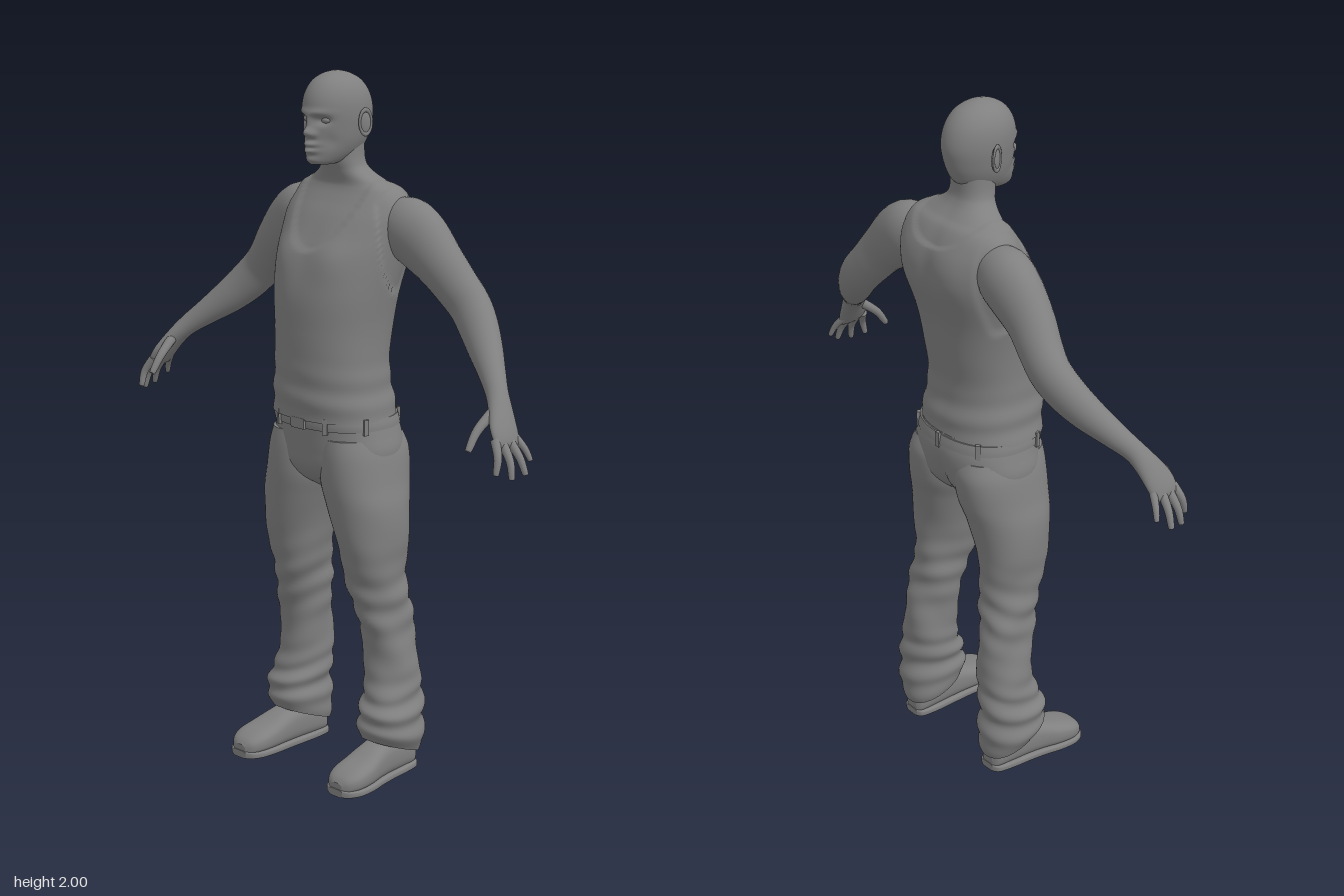
import * as THREE from 'three';

const grey = new THREE.MeshStandardMaterial({ color: 0x808080 });
grey.name = 'grey';
const V3 = (x, y, z) => new THREE.Vector3(x, y, z);
const bell = (v, c, w) => Math.exp(-(((v - c) / w) ** 2));
const step = THREE.MathUtils.smoothstep;

// Smooth interpolation through rows of numbers
function sample(rows, t) {
  const n = rows.length - 1, f = t * n, i = Math.min(Math.floor(f), n - 1), u = f - i;
  const at = k => rows[Math.max(0, Math.min(n, k))];
  return rows[0].map((_, k) => {
    const a = at(i - 1)[k], b = at(i)[k], c = at(i + 1)[k], d = at(i + 2)[k];
    return b + 0.5 * u * (c - a + u * (2 * a - 5 * b + 4 * c - d + u * (3 * (b - c) + d - a)));
  });
}

// Closed skin over elliptical sections; rows are [x, y, z, halfU, halfV]
function sweep(rows, { rings = 30, sides = 28, axis = null, up = V3(0, 0, 1), power = 2, shape = null } = {}) {
  const pos = [], idx = [];
  const centre = t => V3(...sample(rows, t).slice(0, 3));
  for (let i = 0; i <= rings; i++) {
    const t = i / rings, [x, y, z, a, b] = sample(rows, t);
    const T = axis ? axis.clone()
      : centre(Math.min(1, t + 0.01)).sub(centre(Math.max(0, t - 0.01))).normalize();
    const V = up.clone().addScaledVector(T, -up.dot(T)).normalize();
    const U = T.clone().cross(V);
    for (let j = 0; j < sides; j++) {
      const q = (j / sides) * Math.PI * 2;
      const pw = v => Math.sign(v) * Math.abs(v) ** (2 / power);
      const p = V3(x, y, z).addScaledVector(U, Math.max(a, 0.001) * pw(Math.sin(q)))
        .addScaledVector(V, Math.max(b, 0.001) * pw(Math.cos(q)));
      if (shape) shape(p, V3(x, y, z), q);
      pos.push(p.x, p.y, p.z);
      if (i < rings) {
        const k = (j + 1) % sides, A = i * sides + j, B = i * sides + k;
        idx.push(A, B, B + sides, A, B + sides, A + sides);
      }
    }
  }
  // Flat end caps with their own rim vertices
  for (const end of [0, 1]) {
    const src = end * rings * sides, base = pos.length / 3, c = [0, 0, 0];
    for (let j = 0; j < sides; j++) for (let k = 0; k < 3; k++) {
      const v = pos[(src + j) * 3 + k];
      pos.push(v);
      c[k] += v / sides;
    }
    pos.push(...c);
    for (let j = 0; j < sides; j++) {
      const k = (j + 1) % sides;
      idx.push(base + sides, base + (end ? j : k), base + (end ? k : j));
    }
  }
  const g = new THREE.BufferGeometry();
  g.setAttribute('position', new THREE.Float32BufferAttribute(pos, 3));
  g.setIndex(idx);
  g.computeVertexNormals();
  return g;
}

// Upright body section: [y, xMin, xMax, zFront, zBack]
const upright = r => r.map(([y, x0, x1, f, b]) => [(x0 + x1) / 2, y, (f + b) / 2, (x1 - x0) / 2, (f - b) / 2]);
const centred = r => upright(r.map(([y, w, f, b]) => [y, -w, w, f, b]));
const UP = V3(0, 1, 0);

function mirrored(geo) {
  const g = geo.clone();
  g.scale(-1, 1, 1);
  const a = g.index.array;
  for (let i = 0; i < a.length; i += 3) [a[i], a[i + 1]] = [a[i + 1], a[i]];
  g.computeVertexNormals();
  return g;
}

export function createModel() {
  const root = new THREE.Group();
  root.name = 'man';
  const add = (name, geo) => {
    const m = new THREE.Mesh(geo, grey);
    m.name = name;
    root.add(m);
    return m;
  };
  const pair = (name, geo) => {
    add(name + 'Left', geo);
    add(name + 'Right', mirrored(geo));
  };

  // Torso and neck, with the vest standing slightly proud of the skin
  add('torsoWithVest', sweep(centred([
    [1.05, 0.176, 0.142, -0.14], [1.1, 0.168, 0.146, -0.136], [1.2, 0.158, 0.147, -0.122], [1.3, 0.16, 0.147, -0.137],
    [1.4, 0.172, 0.142, -0.155], [1.5, 0.187, 0.115, -0.184], [1.56, 0.195, 0.086, -0.189], [1.61, 0.198, 0.058, -0.182],
    [1.65, 0.19, 0.03, -0.165], [1.68, 0.165, 0.012, -0.146], [1.7, 0.125, 0.008, -0.122], [1.73, 0.078, 0.016, -0.096],
    [1.76, 0.063, 0.025, -0.085], [1.82, 0.06, 0.03, -0.085]]), {
    rings: 120, sides: 112, axis: UP, power: 2.3,
    shape(p, c) {
      const ax = Math.abs(p.x), out = V3(p.x, 0, p.z - c.z).normalize();
      const scoop = THREE.MathUtils.lerp(0.09, 0.2, step(p.z, -0.15, 0));
      const neck = (p.x / 0.115) ** 2 + ((Math.min(p.y, 1.72) - 1.72) / scoop) ** 2;
      const hole = Math.max(((p.y - 1.56) / 0.16) ** 2 + ((p.z + 0.075) / 0.09) ** 2, 2 - ax / 0.15);
      const cover = step(neck, 0.95, 1.08) * step(hole, 0.93, 1.05) * (1 - step(p.y, 1.73, 1.74));
      let d = 0.007 * cover;
      if (p.z > c.z) d += 0.01 * bell(ax, 0.08, 0.05) * bell(p.y, 1.5, 0.06);
      else d += 0.007 * bell(ax, 0.09, 0.05) * bell(p.y, 1.56, 0.07) - 0.008 * bell(p.x, 0, 0.025) * bell(p.y, 1.45, 0.2);
      d += 0.003 * Math.sin(p.y * 75 + p.x * 9) * bell(p.y, 1.12, 0.07);
      p.addScaledVector(out, d);
    },
  }));

  // Head with modelled brow, eye sockets, nose, lips and chin
  add('head', sweep(centred([
    [1.752, 0.03, 0.088, 0.0], [1.762, 0.043, 0.095, -0.04], [1.785, 0.059, 0.098, -0.085], [1.815, 0.071, 0.097, -0.104],
    [1.85, 0.078, 0.097, -0.115], [1.885, 0.082, 0.1, -0.12], [1.92, 0.081, 0.098, -0.114], [1.95, 0.073, 0.087, -0.1],
    [1.975, 0.057, 0.067, -0.077], [1.992, 0.033, 0.038, -0.045], [2, 0.006, 0.006, -0.012]]), {
    rings: 90, sides: 96, axis: UP,
    shape(p) {
      if (p.z < 0.02) return;
      const ax = Math.abs(p.x), y = p.y;
      p.z += 0.022 * bell(ax, 0, 0.014) * bell(y, 1.84, 0.013) + 0.01 * bell(ax, 0, 0.011) * bell(y, 1.868, 0.022)
        + 0.008 * bell(ax, 0.016, 0.008) * bell(y, 1.835, 0.008)
        - 0.017 * bell(ax, 0.034, 0.018) * bell(y, 1.873, 0.012)
        + 0.007 * bell(ax, 0.025, 0.03) * bell(y, 1.893, 0.01)
        + 0.016 * bell(ax, 0, 0.022) * bell(y, 1.808, 0.007) + 0.015 * bell(ax, 0, 0.02) * bell(y, 1.79, 0.007)
        + 0.006 * bell(ax, 0, 0.022) * bell(y, 1.765, 0.009)
        - 0.006 * bell(ax, 0.05, 0.015) * bell(y, 1.815, 0.02);
    },
  }));
  pair('eye', new THREE.SphereGeometry(0.013, 20, 14).scale(1.15, 0.75, 1).translate(0.034, 1.873, 0.068));
  const earTurn = new THREE.Matrix4().makeRotationY(-0.35).setPosition(0.089, 1.862, -0.025);
  pair('ear', new THREE.SphereGeometry(1, 18, 14).scale(0.008, 0.034, 0.019).applyMatrix4(earTurn));
  pair('earRim', new THREE.TorusGeometry(0.02, 0.004, 8, 28).scale(0.9, 1.65, 1).rotateY(Math.PI / 2)
    .translate(0.004, 0.003, 0).applyMatrix4(earTurn));

  // Arms running into the palms
  pair('arm', sweep([
    [0.13, 1.605, -0.078, 0.055, 0.055], [0.19, 1.585, -0.082, 0.086, 0.072], [0.245, 1.552, -0.086, 0.088, 0.07],
    [0.31, 1.495, -0.09, 0.073, 0.062], [0.36, 1.44, -0.1, 0.065, 0.057], [0.405, 1.392, -0.105, 0.062, 0.053],
    [0.45, 1.345, -0.09, 0.059, 0.05], [0.5, 1.297, -0.062, 0.051, 0.045], [0.56, 1.245, -0.022, 0.038, 0.036],
    [0.605, 1.205, 0.01, 0.03, 0.031], [0.635, 1.17, 0.03, 0.025, 0.037], [0.665, 1.125, 0.05, 0.02, 0.046],
    [0.682, 1.095, 0.058, 0.014, 0.043], [0.687, 1.083, 0.06, 0.006, 0.034]], { rings: 70, sides: 32 }));

  // Fingers and thumb: [base, middle, tip, radius]
  const digits = [
    [[0.672, 1.11, 0.022], [0.7, 1.075, 0.008], [0.714, 1.045, 0.0], 0.0095],
    [[0.675, 1.105, 0.047], [0.712, 1.06, 0.042], [0.73, 1.018, 0.038], 0.011],
    [[0.675, 1.102, 0.071], [0.71, 1.055, 0.077], [0.722, 1.012, 0.082], 0.011],
    [[0.672, 1.105, 0.092], [0.695, 1.065, 0.107], [0.698, 1.025, 0.117], 0.011],
    [[0.63, 1.17, 0.05], [0.622, 1.125, 0.105], [0.622, 1.08, 0.138], 0.0125]];
  digits.forEach(([a, b, c, r], i) => {
    const tip = c.map((v, k) => v + (v - b[k]) * 0.1);
    pair(i < 4 ? 'finger' + (i + 1) : 'thumb', sweep(
      [[...a, r * 1.2, r * 1.2], [...b, r, r], [...c, r * 0.75, r * 0.75], [...tip, r * 0.3, r * 0.3]],
      { rings: 18, sides: 14, up: V3(0.7, 0, 0.7) }));
  });

  // Trousers: hips, belt and legs
  add('trouserHips', sweep(centred([
    [0.84, 0.06, 0.05, -0.075], [0.87, 0.13, 0.095, -0.115], [0.91, 0.19, 0.12, -0.145], [0.96, 0.2, 0.127, -0.156],
    [1.01, 0.189, 0.132, -0.158], [1.06, 0.175, 0.138, -0.146]]), {
    rings: 40, sides: 64, axis: UP, power: 2.3,
    shape(p) {
      if (p.z < 0) p.z += 0.018 * bell(p.x, 0, 0.025) * bell(p.y, 0.91, 0.06);
    },
  }));
  add('belt', sweep(centred([[1.026, 0.186, 0.141, -0.157], [1.04, 0.185, 0.143, -0.155], [1.056, 0.181, 0.143, -0.151]]),
    { rings: 6, sides: 64, axis: UP, power: 2.3 }));
  add('beltBuckle', new THREE.BoxGeometry(0.05, 0.03, 0.012).translate(0, 1.04, 0.144));
  for (const q of [0.45, 1.2, 2.4, Math.PI, 3.88, 5.08, 5.83]) {
    const loop = add('beltLoop', new THREE.BoxGeometry(0.014, 0.045, 0.01));
    const s = Math.sin(q), c = Math.cos(q), pw = v => Math.sign(v) * Math.abs(v) ** (2 / 2.3);
    loop.position.set(0.185 * pw(s), 1.04, -0.006 + 0.149 * pw(c));
    loop.rotation.y = q;
  }
  pair('trouserLeg', sweep(upright([
    [0.1, 0.112, 0.252, 0.05, -0.132], [0.135, 0.103, 0.268, 0.062, -0.142], [0.2, 0.106, 0.265, 0.056, -0.142],
    [0.26, 0.103, 0.254, 0.034, -0.138], [0.32, 0.1, 0.247, 0.026, -0.137], [0.4, 0.099, 0.236, 0.03, -0.13],
    [0.5, 0.085, 0.231, 0.053, -0.117], [0.6, 0.069, 0.226, 0.08, -0.106], [0.7, 0.05, 0.236, 0.1, -0.11],
    [0.8, 0.021, 0.232, 0.116, -0.127], [0.87, 0.0, 0.217, 0.124, -0.147], [0.95, 0.0, 0.201, 0.125, -0.156],
    [1.0, 0.01, 0.182, 0.12, -0.14]]), {
    rings: 110, sides: 48, axis: UP, power: 2.2,
    shape(p, c, q) {
      // Folds gather at the knee and ankle; the cuff drops at the heel
      const fold = 0.004 * bell(c.y, 0.52, 0.1) * Math.sin(c.y * 80 + 2 * Math.sin(q) + 1.5 * Math.cos(q))
        + 0.006 * bell(c.y, 0.2, 0.08) * Math.sin(c.y * 95 + 2.5 * Math.sin(q + 1))
        + 0.003 * Math.sin(c.y * 28 + 3 * q) * bell(c.y, 0.45, 0.3);
      p.addScaledVector(V3(p.x - c.x, 0, p.z - c.z).normalize(), fold);
      p.y += p.z * 0.38 * THREE.MathUtils.clamp((0.25 - c.y) / 0.15, 0, 1);
    },
  }));

  // Shoes: [z, x, halfWidth, top]
  const shoe = [[-0.124, 0.18, 0.02, 0.05], [-0.11, 0.181, 0.038, 0.08], [-0.06, 0.183, 0.046, 0.11], [0, 0.186, 0.049, 0.118],
    [0.05, 0.19, 0.053, 0.106], [0.1, 0.195, 0.059, 0.087], [0.15, 0.198, 0.058, 0.072], [0.182, 0.198, 0.044, 0.056],
    [0.196, 0.198, 0.022, 0.04]];
  const along = { rings: 36, sides: 32, axis: V3(0, 0, 1), up: UP };
  pair('shoe', sweep(shoe.map(([z, x, w, h]) => [x, h / 2 + 0.004, z, w, h / 2 - 0.004]), { ...along, power: 2.7 }));
  pair('shoeSole', sweep(shoe.map(([z, x, w]) => [x, 0.011, z * 1.015, w + 0.004, 0.011]), { ...along, power: 5 }));

  return root;
}
